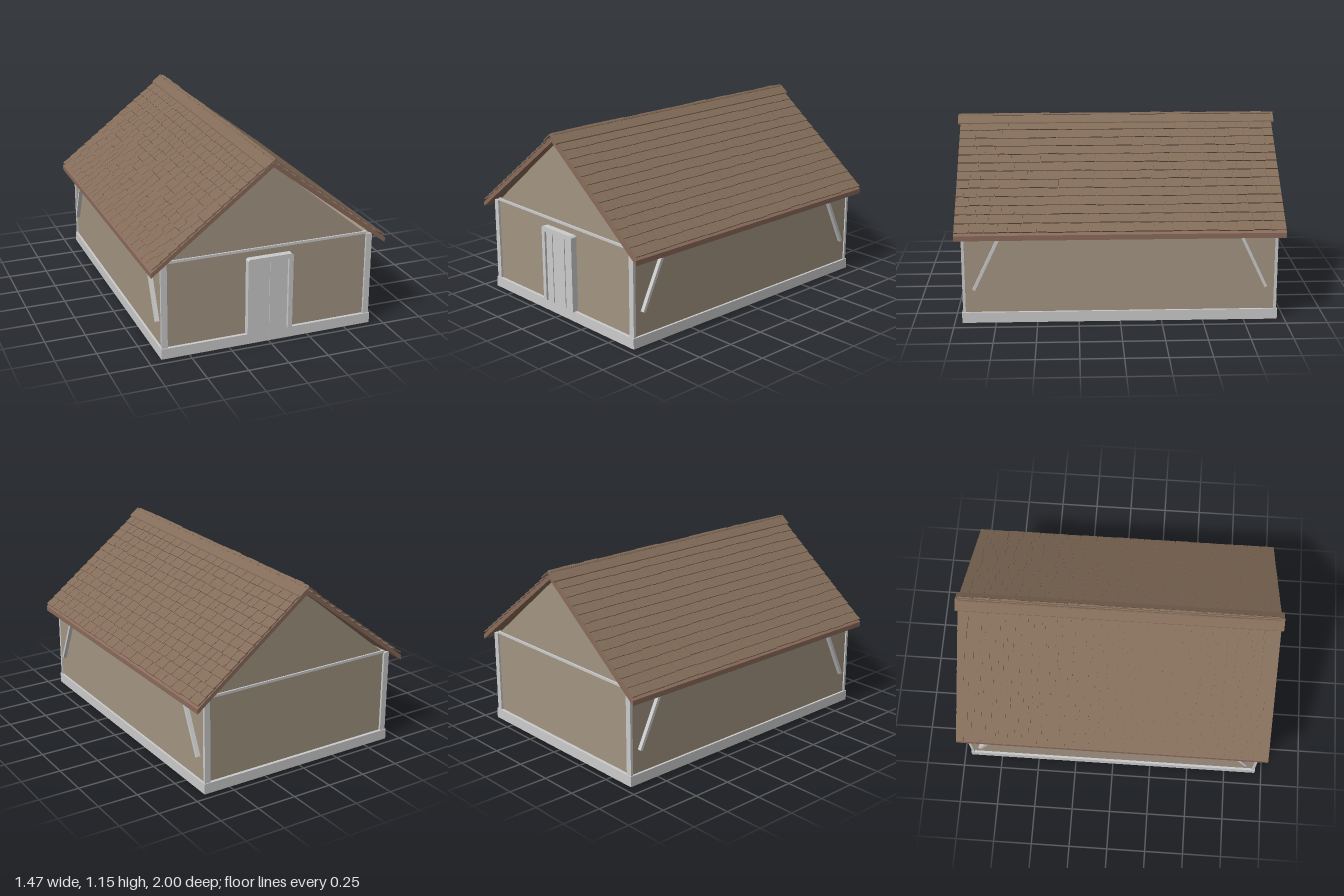
import * as THREE from 'three';
import { mergeGeometries } from 'three/addons/utils/BufferGeometryUtils.js';

const mat = (name, color) => Object.assign(new THREE.MeshStandardMaterial({ color }), { name });

export function createModel() {
  const house = new THREE.Group();
  house.name = 'house';
  const trim = mat('paleTrim', 0xcbcbcb);
  const plaster = mat('tanWall', 0xa29481);
  const timber = mat('roofTimber', 0x896a5a);
  const shingle = mat('brownShingle', 0x836c59);

  const add = (name, geo, material, parent = house) => {
    const m = new THREE.Mesh(geo, material);
    m.name = name;
    parent.add(m);
    return m;
  };
  // Box given by its min and max corners
  const box = (name, x0, x1, y0, y1, z0, z1, material, parent) => {
    const m = add(name, new THREE.BoxGeometry(x1 - x0, y1 - y0, z1 - z0), material, parent);
    m.position.set((x0 + x1) / 2, (y0 + y1) / 2, (z0 + z1) / 2);
    return m;
  };
  // Flat outline extruded along z between two depths
  const slab = (name, pts, z0, z1, material, parent) => {
    const shape = new THREE.Shape(pts.map(([x, y]) => new THREE.Vector2(x, y)));
    const geo = new THREE.ExtrudeGeometry(shape, { depth: z1 - z0, bevelEnabled: false });
    return add(name, geo.translate(0, 0, z0), material, parent);
  };

  // Plinth and wall body
  box('plinth', -0.672, 0.672, 0, 0.065, -0.955, 0.955, trim);
  box('walls', -0.658, 0.658, 0.06, 0.59, -0.935, 0.935, plaster);

  // Gables, corner posts, tie beams and side braces, repeated on both ends
  for (const end of [1, -1]) {
    const side = new THREE.Group();
    side.name = end > 0 ? 'frontEnd' : 'backEnd';
    if (end < 0) side.rotation.y = Math.PI;
    house.add(side);
    slab('gable', [[-0.637, 0.585], [0.637, 0.585], [0, 1.105]], 0.915, 0.935, plaster, side);
    box('tieBeam', -0.632, 0.632, 0.59, 0.605, 0.925, 0.945, trim, side);
    for (const s of [1, -1]) {
      const [a, b] = s > 0 ? [0.63, 0.667] : [-0.667, -0.63];
      box('cornerPost', a, b, 0.065, 0.59, 0.932, 0.949, trim, side);
      // Brace leans from the post inward up to the eaves
      const p = new THREE.Vector3(s * 0.67, 0.21, 0.88);
      const q = new THREE.Vector3(s * 0.67, 0.57, 0.708);
      const brace = add('brace', new THREE.BoxGeometry(0.026, p.distanceTo(q), 0.018), trim, side);
      brace.position.copy(p).add(q).multiplyScalar(0.5);
      brace.rotation.x = Math.atan2(q.z - p.z, q.y - p.y);
    }
  }

  // Door boards and surround
  for (let i = 0; i < 4; i++) {
    const x = -0.115 + i * 0.0575;
    box('doorBoard', x, x + 0.0575, 0.066, 0.522, 0.93, i % 2 ? 0.957 : 0.962, trim);
  }
  slab('doorFrame', [
    [-0.143, 0.07], [-0.115, 0.07], [-0.115, 0.52], [0.115, 0.52], [0.115, 0.07],
    [0.143, 0.07], [0.143, 0.54], [0.133, 0.55], [-0.133, 0.55], [-0.143, 0.54],
  ], 0.93, 0.975, trim);

  // Roof deck with its eaves and verge faces
  slab('roofDeck', [
    [0, 1.1], [0.735, 0.535], [0.735, 0.566], [0, 1.131], [-0.735, 0.566], [-0.735, 0.535],
  ], -0.985, 0.985, timber);

  // Shingle courses, each overlapping the one below
  let seed = 7;
  const rand = () => (seed = (seed * 16807) % 2147483647) / 2147483647;
  const slope = Math.atan2(0.565, 0.735);
  const rows = 14, pitch = 0.066, length = 0.078, reach = 0.985;
  for (const s of [1, -1]) {
    const tiles = [];
    for (let r = 0; r < rows; r++) {
      let z = -reach;
      while (z < reach - 0.001) {
        let w = 0.055 + rand() * 0.065;
        if (reach - z - w < 0.045) w = reach - z;
        const drop = (rand() - 0.5) * 0.006;
        const g = new THREE.BoxGeometry(length, 0.008, w - 0.004);
        g.rotateZ(0.09);
        g.translate((r + 1) * pitch - length / 2 + drop, -0.005, z + w / 2);
        tiles.push(g);
        z += w;
      }
    }
    const face = new THREE.Group();
    face.name = s > 0 ? 'leftRoofFace' : 'rightRoofFace';
    const tilt = new THREE.Group();
    tilt.position.y = 1.149;
    tilt.rotation.z = -slope;
    face.add(tilt);
    if (s < 0) face.rotation.y = Math.PI;
    house.add(face);
    add('shingles', mergeGeometries(tiles), shingle, tilt);
  }

  // Folded ridge cap
  slab('ridgeCap', [
    [0, 1.143], [0.06, 1.097], [0.06, 1.106], [0, 1.152], [-0.06, 1.106], [-0.06, 1.097],
  ], -1, 1, shingle);

  return house;
}
